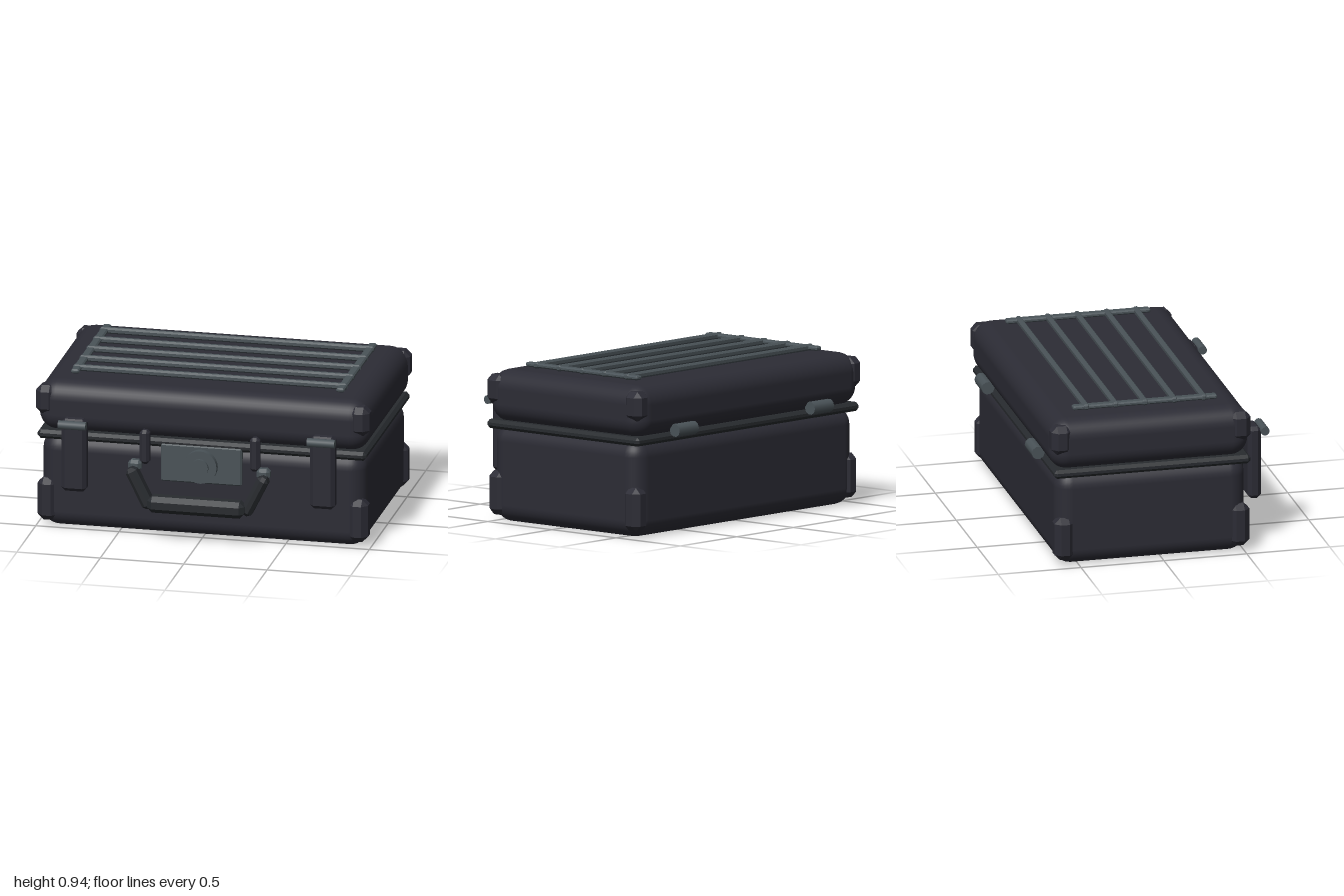
import * as THREE from 'three';
import { RoundedBoxGeometry } from 'three/addons/geometries/RoundedBoxGeometry.js';
import { ConvexGeometry } from 'three/addons/geometries/ConvexGeometry.js';

const material = (name, color) => {
  const m = new THREE.MeshStandardMaterial({ color });
  m.name = name;
  return m;
};

// Box with a flat chamfer along every edge
function chamferBox(w, h, d, c) {
  const points = [];
  for (const sx of [-1, 1]) for (const sy of [-1, 1]) for (const sz of [-1, 1]) {
    const [x, y, z] = [w / 2, h / 2, d / 2];
    points.push(
      new THREE.Vector3(sx * x, sy * (y - c), sz * (z - c)),
      new THREE.Vector3(sx * (x - c), sy * y, sz * (z - c)),
      new THREE.Vector3(sx * (x - c), sy * (y - c), sz * z));
  }
  return new ConvexGeometry(points);
}

export function createModel() {
  const group = new THREE.Group();
  group.name = 'hardCase';
  const shell = material('charcoal shell', 0x2c2c35);
  const trim = material('dark trim', 0x282b2f);
  const metal = material('grey metal', 0x4a5358);

  const add = (name, geometry, mat, x, y, z) => {
    const mesh = new THREE.Mesh(geometry, mat);
    mesh.name = name;
    mesh.position.set(x, y, z);
    group.add(mesh);
    return mesh;
  };

  // Rounded shells and the lip between them
  add('base', new RoundedBoxGeometry(1.94, 0.575, 1.147, 4, 0.1), shell, 0, 0.2875, -0.063);
  add('lid', new RoundedBoxGeometry(1.98, 0.31, 1.2, 4, 0.11), shell, 0, 0.743, -0.07);
  add('seamLip', chamferBox(1.97, 0.053, 1.185, 0.018), trim, 0, 0.575, -0.062);

  // Corner guards
  const lidCorner = chamferBox(0.12, 0.175, 0.125, 0.035);
  const baseCorner = chamferBox(0.12, 0.26, 0.12, 0.035);
  for (const side of [-1, 1]) {
    for (const z of [0.469, -0.608]) add('lidCorner', lidCorner, shell, side * 0.94, 0.783, z);
    for (const z of [0.466, -0.589]) add('baseCorner', baseCorner, shell, side * 0.93, 0.17, z);
  }

  // Rack on the lid
  const rail = chamferBox(0.05, 0.026, 0.87, 0.008);
  const crossbar = chamferBox(1.646, 0.037, 0.036, 0.01);
  for (const side of [-1, 1]) add('rackRail', rail, metal, side * 0.795, 0.922, -0.066);
  for (let i = 0; i < 5; i++) add('rackCrossbar', crossbar, metal, 0, 0.923, 0.288 - i * 0.177);

  // Latches, hinges, handle brackets, pivots and arms on both sides
  const latch = chamferBox(0.15, 0.443, 0.08, 0.022);
  const latchPin = new THREE.CylinderGeometry(0.026, 0.026, 0.166, 12).rotateZ(Math.PI / 2);
  const hinge = new THREE.CylinderGeometry(0.039, 0.039, 0.17, 10).rotateZ(Math.PI / 2);
  const bracket = chamferBox(0.06, 0.208, 0.06, 0.018);
  const pivot = chamferBox(0.08, 0.068, 0.066, 0.018);
  const arm = chamferBox(0.07, 0.265, 0.1, 0.022);
  for (const side of [-1, 1]) {
    add('latch', latch, shell, side * 0.745, 0.491, 0.596);
    add('latchPin', latchPin, metal, side * 0.746, 0.687, 0.655);
    add('hinge', hinge, metal, side * 0.598, 0.617, -0.678);
    add('handleBracket', bracket, shell, side * 0.33, 0.559, 0.562);
    add('handlePivot', pivot, metal, side * 0.385, 0.448, 0.58);
    add('handleArm', arm, trim, side * 0.345, 0.327, 0.625).rotation.z = -side * 0.46;
  }
  add('handleGrip', chamferBox(0.58, 0.1, 0.108, 0.028), trim, 0, 0.245, 0.657);

  // Lock plate with its dial
  const disc = (r, depth) => new THREE.CylinderGeometry(r, r, depth, 24).rotateX(Math.PI / 2);
  add('lockPlate', chamferBox(0.485, 0.23, 0.05, 0.008), metal, 0, 0.459, 0.512);
  add('lockDial', disc(0.1, 0.04), metal, 0, 0.455, 0.552);
  add('lockButton', disc(0.052, 0.02), metal, 0, 0.455, 0.578);

  return group;
}
